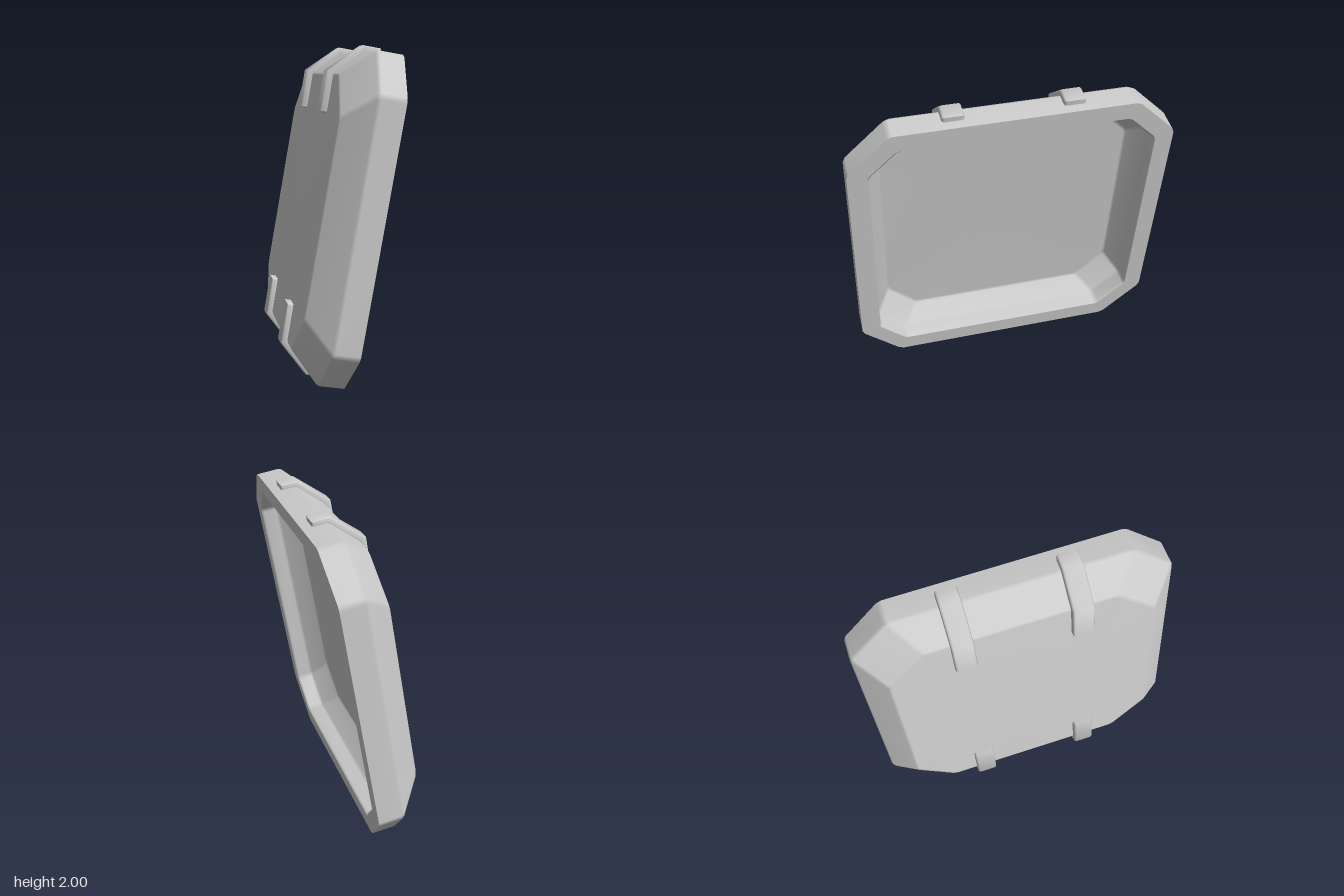
import * as THREE from 'three';
import { mergeVertices, toCreasedNormals } from 'three/addons/utils/BufferGeometryUtils.js';

const material = new THREE.MeshStandardMaterial({ color: 0xcccccc });

// Square ring with cut, slightly eased corners, counter-clockwise about +x
function octagon([depth, half, cut]) {
  const f = half - cut;
  const corners = [[half, -f], [half, f], [f, half], [-f, half], [-half, f], [-half, -f], [-f, -half], [f, -half]]
    .map(([y, z]) => new THREE.Vector3(-depth, y, z));
  const ease = 0.02 * half;
  return corners.flatMap((p, i) => [corners[(i + 7) % 8], corners[(i + 1) % 8]]
    .map((q) => q.clone().sub(p).normalize().multiplyScalar(ease).add(p)));
}

// Smooth skin through rings of [depth, half size, corner cut]
function loft(profile) {
  const rings = profile.map(octagon);
  const points = [];
  for (let i = 0; i < rings.length - 1; i++) {
    const a = rings[i], b = rings[i + 1];
    for (let k = 0; k < a.length; k++) {
      const m = (k + 1) % a.length;
      points.push(a[k], a[m], b[k], a[m], b[m], b[k]);
    }
  }
  const geometry = mergeVertices(new THREE.BufferGeometry().setFromPoints(points));
  geometry.computeVertexNormals();
  return geometry;
}

// Bent strap hugging the back edge, with rounded borders
function strapGeometry() {
  const outline = [
    [-0.06, 1.008], [-0.17, 1.008], [-0.358, 0.828], [-0.358, 0.58],
    [-0.3, 0.58], [-0.3, 0.8], [-0.147, 0.955], [-0.06, 0.955],
  ].map(([x, y]) => new THREE.Vector2(x, y));
  const bevel = 0.018, width = 0.132;
  const geometry = new THREE.ExtrudeGeometry(new THREE.Shape(outline), {
    depth: width - 2 * bevel, bevelEnabled: true, bevelThickness: bevel,
    bevelSize: bevel, bevelOffset: -bevel, bevelSegments: 4,
  });
  geometry.translate(0, 0, -width / 2 + bevel);
  return toCreasedNormals(geometry, 0.85);
}

export function createModel() {
  const model = new THREE.Group();
  model.name = 'panelCover';

  const skins = {
    // Flat back, bevel and side wall
    outerShell: [
      [0.32, 0, 0], [0.32, 0.803, 0.24], [0.313, 0.82, 0.241],
      [0.164, 0.968, 0.25], [0.145, 0.977, 0.25], [0, 0.977, 0.25],
    ],
    rim: [[0, 0.977, 0.25], [0, 0.866, 0.18]],
    // Inner wall, bevel and flat floor
    recess: [
      [0, 0.866, 0.18], [0.012, 0.856, 0.18], [0.095, 0.855, 0.18],
      [0.113, 0.848, 0.18], [0.213, 0.773, 0.19], [0.22, 0.757, 0.19], [0.22, 0, 0],
    ],
  };
  for (const [name, profile] of Object.entries(skins)) {
    const mesh = new THREE.Mesh(loft(profile), material);
    mesh.name = name;
    model.add(mesh);
  }

  // Two straps on top, two below
  const strap = strapGeometry();
  for (const turn of [0, Math.PI]) {
    for (const z of [-0.355, 0.355]) {
      const mesh = new THREE.Mesh(strap, material);
      mesh.name = turn ? 'lowerStrap' : 'upperStrap';
      mesh.position.z = z;
      mesh.rotation.x = turn;
      model.add(mesh);
    }
  }

  // Lean and turn of the whole cover
  model.rotation.set(0, 0.108, -0.1745, 'YXZ');
  model.position.set(0.14, 0.984, -0.01);
  const root = new THREE.Group();
  root.name = 'model';
  root.add(model);
  return root;
}
